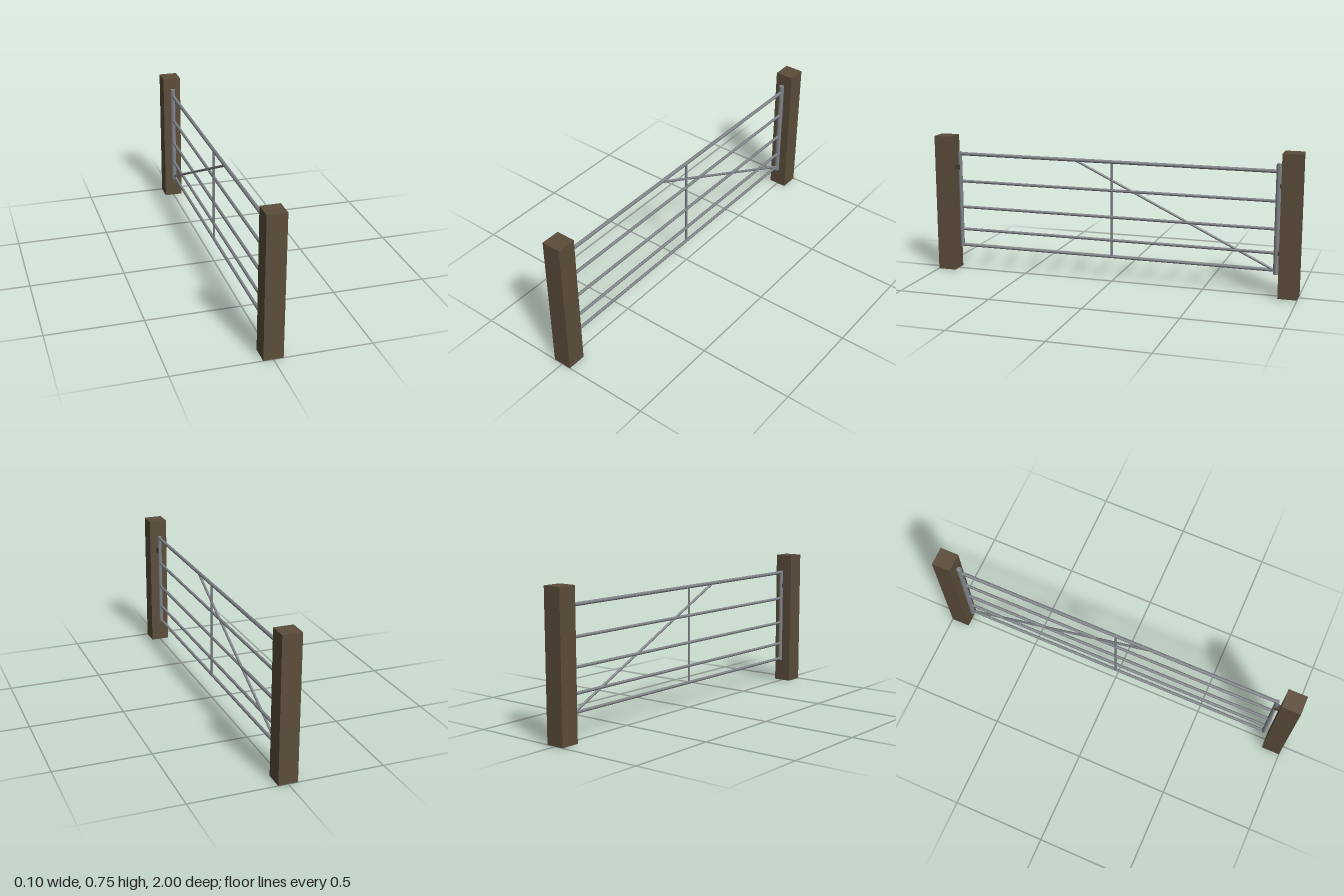
import * as THREE from 'three';

const wood = new THREE.MeshStandardMaterial({ name: 'post wood', color: 0x5c4d3a });
const steel = new THREE.MeshStandardMaterial({ name: 'galvanised steel', color: 0x808488 });
const iron = new THREE.MeshStandardMaterial({ name: 'dark fittings', color: 0x453f37 });

function box(name, w, h, d, y, z, material) {
  const mesh = new THREE.Mesh(new THREE.BoxGeometry(w, h, d), material);
  mesh.name = name;
  mesh.position.set(0, y, z);
  return mesh;
}

// Round tube in the x = 0 plane, between two [y, z] points
function tube(name, [y0, z0], [y1, z1], radius) {
  const a = new THREE.Vector3(0, y0, z0);
  const b = new THREE.Vector3(0, y1, z1);
  const mesh = new THREE.Mesh(new THREE.CylinderGeometry(radius, radius, a.distanceTo(b), 12), steel);
  mesh.name = name;
  mesh.position.copy(a).add(b).multiplyScalar(0.5);
  mesh.quaternion.setFromUnitVectors(new THREE.Vector3(0, 1, 0), b.sub(a).normalize());
  return mesh;
}

export function createModel() {
  const model = new THREE.Group();
  model.name = 'fieldGate';

  // Square timber posts
  model.add(box('latchPost', 0.1, 0.75, 0.1, 0.375, 0.95, wood));
  model.add(box('hingePost', 0.1, 0.75, 0.1, 0.375, -0.95, wood));

  // Gate frame: uprights at both ends and graded horizontal bars
  const gate = new THREE.Group();
  gate.name = 'gate';
  gate.add(tube('latchStile', [0.127, 0.874], [0.662, 0.874], 0.011));
  gate.add(tube('hingeStile', [0.114, -0.88], [0.69, -0.88], 0.014));
  [0.136, 0.227, 0.353, 0.498, 0.651].forEach((y, i) => {
    gate.add(tube('bar' + (i + 1), [y, 0.874], [y, -0.88], i === 4 ? 0.0095 : 0.008));
  });

  // Centre upright and diagonal brace
  gate.add(tube('centreUpright', [0.136, 0], [0.651, 0], 0.0065));
  gate.add(tube('diagonalBrace', [0.651, 0.205], [0.136, -0.872], 0.0065));
  model.add(gate);

  // Hinges and latch
  for (const y of [0.227, 0.577]) {
    model.add(box('hinge', 0.022, 0.022, 0.028, y, -0.888, iron));
  }
  model.add(box('latch', 0.027, 0.027, 0.034, 0.577, 0.888, iron));

  return model;
}
